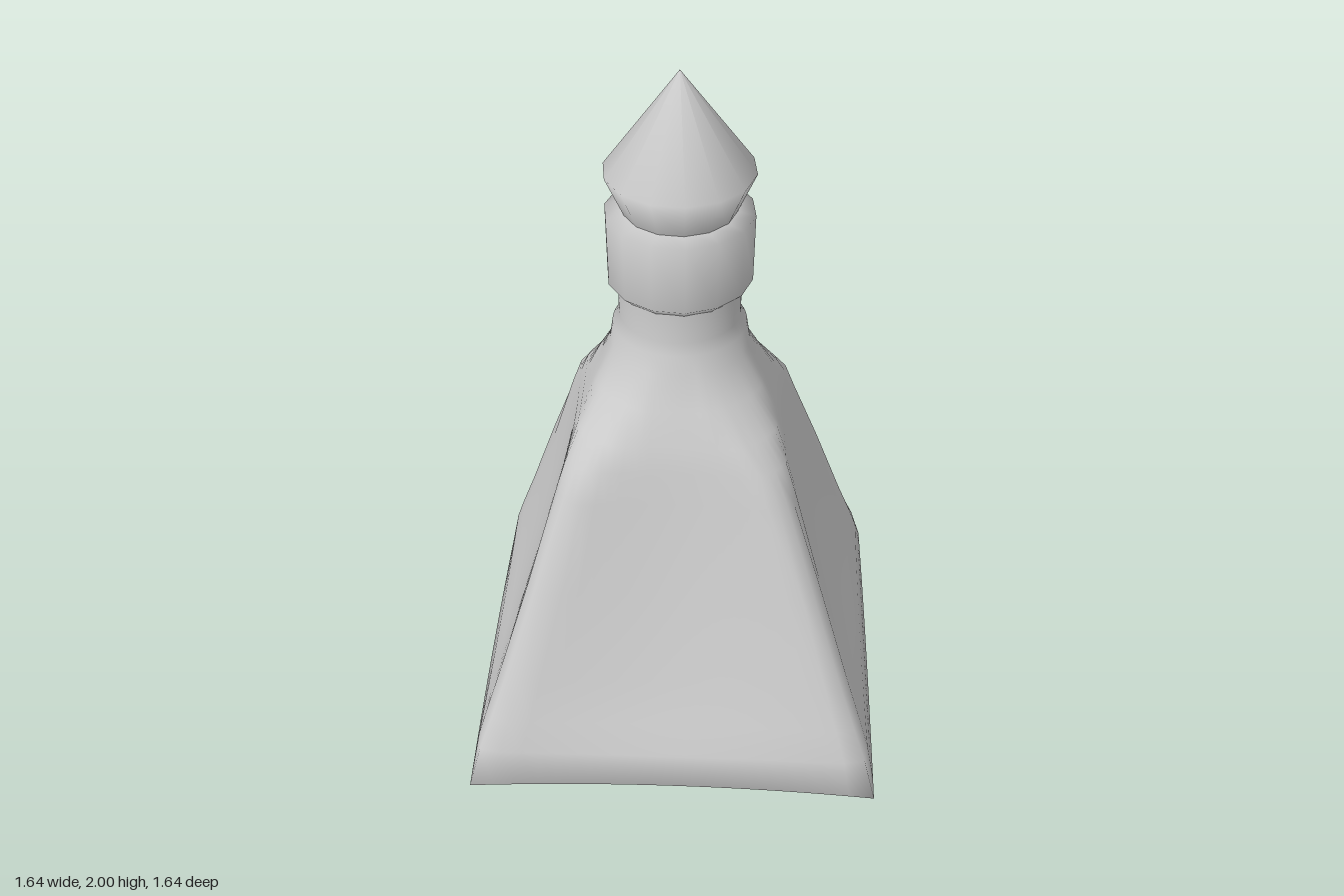
import * as THREE from 'three';

const SEGMENTS = 96;
const material = new THREE.MeshStandardMaterial({ color: 0xcccccc, side: THREE.DoubleSide });

// Each section is [y, diamond half diagonal, corner radius, dish depth, lift of the edge middle].
// A diamond trimmed by a circle gives softened ridges, and a round neck once the circle fits inside.
// The dish depth hollows the four faces between the ridges.
function loft(sections) {
  const positions = [];
  const index = [];
  for (const [y, diagonal, radius, dish = 0, lift = 0] of sections) {
    for (let j = 0; j < SEGMENTS; j++) {
      const a = (j / SEGMENTS) * Math.PI * 2;
      const s = Math.sin(a), c = Math.cos(a);
      const span = Math.abs(s) + Math.abs(c);
      const middle = 4 * Math.abs(s * c) / (span * span);
      const r = Math.min(diagonal / span, radius) - dish * middle;
      positions.push(r * s, y + lift * middle, r * c);
    }
  }
  for (let i = 0; i < sections.length - 1; i++) {
    for (let j = 0; j < SEGMENTS; j++) {
      const k = (j + 1) % SEGMENTS;
      const a = i * SEGMENTS + j, b = i * SEGMENTS + k;
      index.push(a, b, a + SEGMENTS, b, b + SEGMENTS, a + SEGMENTS);
    }
  }
  const geometry = new THREE.BufferGeometry();
  geometry.setAttribute('position', new THREE.Float32BufferAttribute(positions, 3));
  geometry.setIndex(index);
  geometry.computeVertexNormals();
  return geometry;
}

function lathe(points, sides) {
  return new THREE.LatheGeometry(points.map(([r, y]) => new THREE.Vector2(r, y)), sides);
}

export function createModel() {
  const group = new THREE.Group();
  const add = (name, geometry) => {
    const mesh = new THREE.Mesh(geometry, material);
    mesh.name = name;
    group.add(mesh);
  };

  // Four-sided body: closed underside, soft rim, dished faces, round neck
  add('body', loft([
    [0.035, 0, 0],
    [0.035, 0.6, 0.6],
    [0, 0.74, 0.74, 0, 0.035],
    [0.012, 0.822, 0.822, 0, 0.026],
    [0.13, 0.792, 0.777, 0.005],
    [0.22, 0.755, 0.73, 0.018],
    [0.34, 0.7, 0.67, 0.026],
    [0.6, 0.585, 0.55, 0.03],
    [0.86, 0.475, 0.432, 0.022],
    [0.95, 0.43, 0.382, 0.012],
    [1.02, 0.388, 0.322, 0.004],
    [1.11, 0.325, 0.245],
    [1.2, 0.275, 0.192],
    [1.26, 0.262, 0.183],
    [1.29, 0.24, 0.165],
    [1.42, 0.25, 0.168],
  ]));

  // Rounded collar around the neck
  add('collar', lathe([
    [0.165, 1.375], [0.197, 1.405], [0.201, 1.6], [0.14, 1.612],
  ], 14));

  // Pointed stopper
  add('stopper', lathe([[0.148, 1.6], [0.202, 1.722], [0, 2]], 14));

  return group;
}
